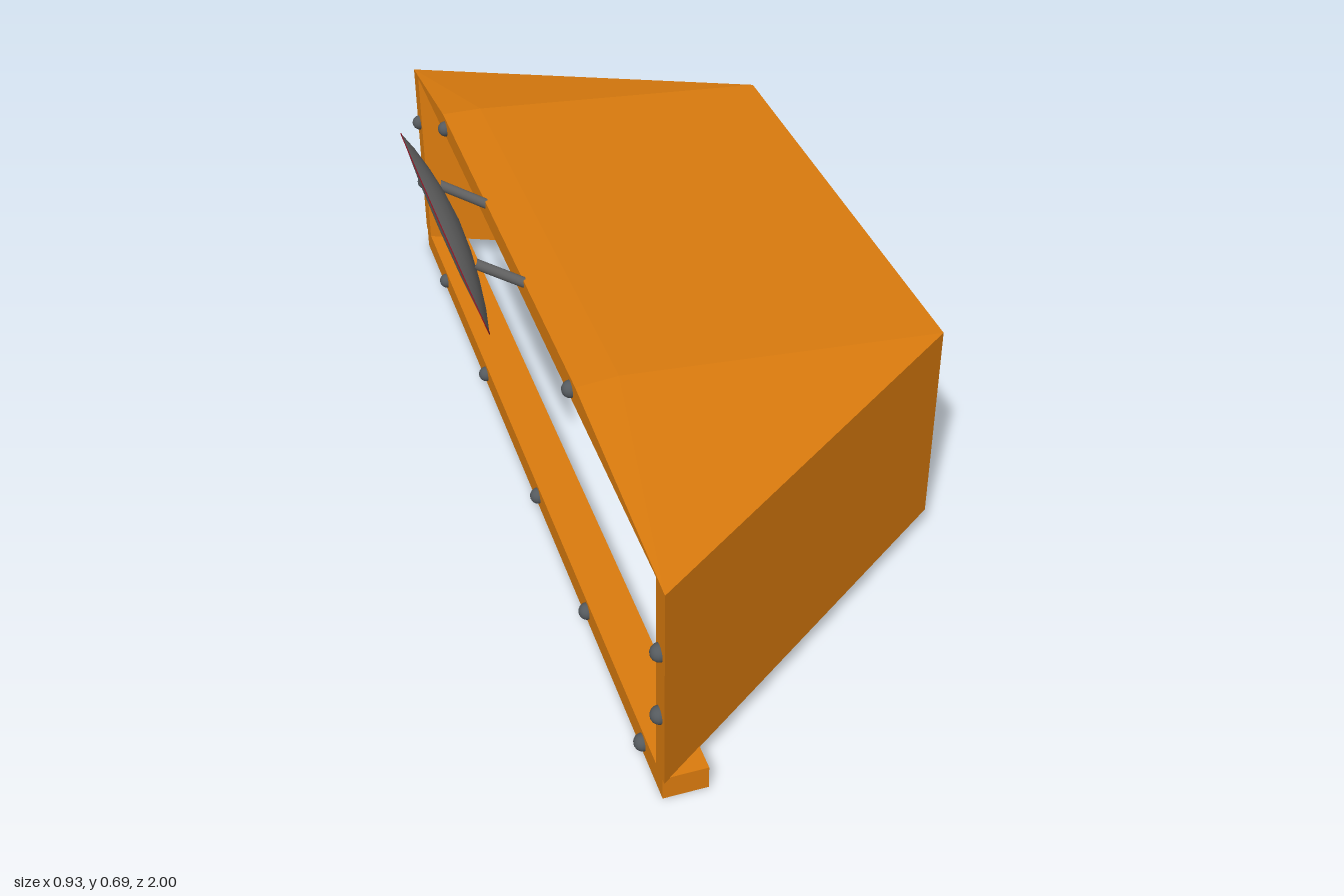
import * as THREE from 'three';
import { ConvexGeometry } from 'three/addons/geometries/ConvexGeometry.js';

const mat = (name, color) => {
  const m = new THREE.MeshStandardMaterial({ color });
  m.name = name;
  return m;
};

export function createModel() {
  const group = new THREE.Group();
  const orange = mat('orange paint', 0xdc7c0e);
  const grey = mat('grey metal', 0x6a6a6a);
  const steel = mat('rivet steel', 0x555a5e);
  const red = mat('red rim', 0x8c1020);

  const add = (name, geometry, material) => {
    const mesh = new THREE.Mesh(geometry, material);
    mesh.name = name;
    group.add(mesh);
    return mesh;
  };

  const BACK = -0.315, FRONT = 0.46, LIP = -0.225, EAVE = 0.515, RIDGE = 0.565;

  // Wedge roof: flat underside, raised edge, corners folded down
  const roofPoints = [
    [BACK, EAVE, 1], [BACK, EAVE, -1], [FRONT - 0.004, EAVE, 0.45], [FRONT + 0.002, EAVE, -0.66],
    [BACK, RIDGE, 0.46], [BACK, RIDGE, -0.66], [LIP, RIDGE, 0.45], [LIP, RIDGE, -0.66],
  ].map((p) => new THREE.Vector3(...p));
  add('roof', new ConvexGeometry(roofPoints), orange);

  // Slanted end walls, drawn in plan and raised
  const wall = (name, zBack, zFront, inward, xFront) => {
    const plan = [
      [BACK, zBack], [xFront, zFront], [xFront, zFront + inward], [BACK, zBack + inward],
    ].map(([x, z]) => new THREE.Vector2(x, -z));
    const g = new THREE.ExtrudeGeometry(new THREE.Shape(plan), { depth: EAVE - 0.05, bevelEnabled: false });
    g.rotateX(-Math.PI / 2).translate(0, 0.05, 0);
    add(name, g, orange);
  };
  wall('frontWall', 1, 0.45, -0.05, FRONT - 0.004);
  wall('rearWall', -1, -0.66, 0.05, FRONT + 0.002);

  // Bottom beam joining the walls
  add('bottomBeam', new THREE.BoxGeometry(LIP - BACK, 0.052, 1.98), orange)
    .position.set((BACK + LIP) / 2, 0.026, 0);

  // Rivets around the opening, as [y, z]
  const rivetGeometry = new THREE.SphereGeometry(0.018, 16, 12);
  const rivets = [
    ...[-0.77, -0.35, 0.12, 0.5, 0.87].map((z) => [0.026, z]),
    [0.375, -0.98], [0.2, -0.98], [0.355, 0.97], [0.2, 0.97],
    [0.537, -0.64], [0.537, 0.425],
  ];
  for (const [y, z] of rivets) add('rivet', rivetGeometry, steel).position.set(BACK, y, z);

  // Tilted oval mirror: nearly flat face, domed back, thin rim
  const mirror = new THREE.Group();
  mirror.name = 'mirror';
  mirror.position.set(-0.4375, 0.6025, -0.115);
  mirror.rotation.z = -1.266;
  group.add(mirror);
  const profile = [
    [0, -0.008], [0.5, -0.006], [1, 0], [0.8, 0.014], [0.55, 0.026], [0.3, 0.034], [0, 0.038],
  ].map((p) => new THREE.Vector2(...p));
  const face = new THREE.Mesh(new THREE.LatheGeometry(profile.slice(0, 3), 48), grey);
  face.name = 'mirrorFace';
  const shell = new THREE.Mesh(new THREE.LatheGeometry(profile.slice(2), 48), grey);
  shell.name = 'mirrorShell';
  const rim = new THREE.Mesh(new THREE.TorusGeometry(1, 0.004, 6, 48).rotateX(Math.PI / 2), red);
  rim.name = 'mirrorRim';
  rim.scale.y = 0.3;
  const oval = new THREE.Group();
  oval.name = 'mirrorOval';
  oval.scale.set(0.0917, 1, 0.39);
  oval.add(face, shell, rim);
  mirror.add(oval);

  // Struts holding the mirror
  for (const z of [-0.255, 0.07]) {
    const path = new THREE.LineCurve3(
      new THREE.Vector3(-0.413, 0.622, z), new THREE.Vector3(-0.305, 0.55, z));
    add('mirrorStrut', new THREE.TubeGeometry(path, 1, 0.011, 16), grey);
  }
  return group;
}
